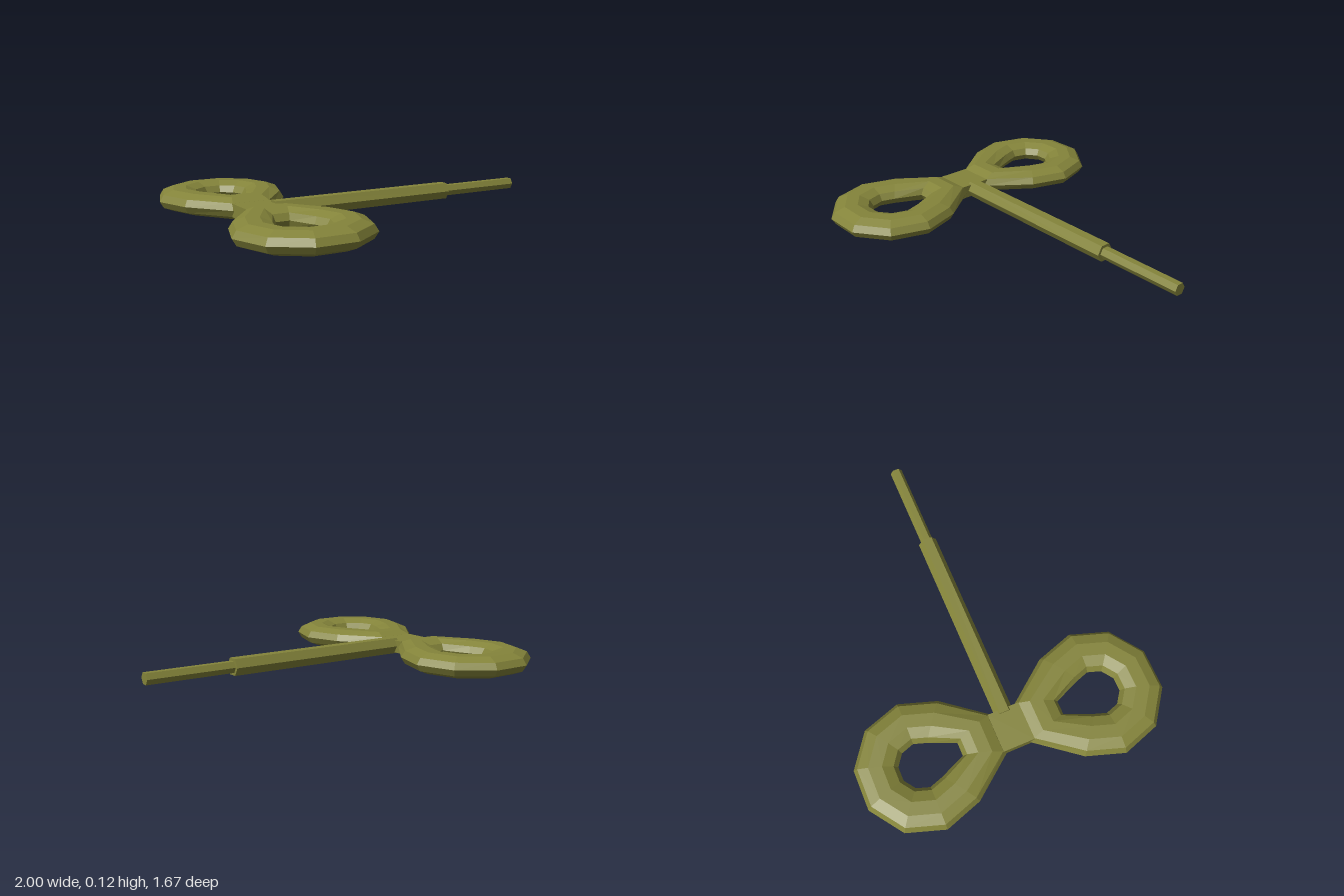
import * as THREE from 'three';

const OLIVE = new THREE.MeshStandardMaterial({ color: 0x84843a, flatShading: true });
const MID_Y = 0.0575;
const HANDLE_X = -0.645;

function part(name, geometry, x, y, z) {
  const mesh = new THREE.Mesh(geometry, OLIVE);
  mesh.name = name;
  mesh.position.set(x, y, z);
  return mesh;
}

// Flattened ten-sided ring whose inner end is stretched towards the neck
function loopGeometry() {
  const sides = 10;
  const g = new THREE.TorusGeometry(0.235, 0.115, sides, sides);
  g.rotateX(Math.PI / 2);
  g.scale(1, 0.526, 1);
  const p = g.attributes.position;
  for (let i = 0; i < p.count; i++) {
    const column = i % (sides + 1);
    if (column === 7 || column === 8) p.setZ(i, p.getZ(i) - 0.1);
  }
  g.translate(0, 0, 0.5);
  return g;
}

// Hexagonal rod along x, with corners pointing to +z and -z
function hexRod(name, radius, x0, x1) {
  const g = new THREE.CylinderGeometry(radius, radius, x1 - x0, 6);
  g.rotateZ(Math.PI / 2);
  return part(name, g, (x0 + x1) / 2, 0.06, 0);
}

export function createModel() {
  const key = new THREE.Group();
  key.name = 'windUpKey';

  // Two mirrored finger loops
  for (const [name, turn] of [['frontLoop', 0], ['backLoop', Math.PI]]) {
    const loop = part(name, loopGeometry(), HANDLE_X, MID_Y, 0);
    loop.rotation.y = turn;
    key.add(loop);
  }

  // Neck joining the loops
  key.add(part('neck', new THREE.BoxGeometry(0.21, 0.071, 0.174), HANDLE_X, MID_Y, 0));

  // Stepped shaft
  key.add(hexRod('shaft', 0.051, -0.56, 0.515));
  key.add(hexRod('shaftTip', 0.034, 0.5, 1));

  return key;
}
